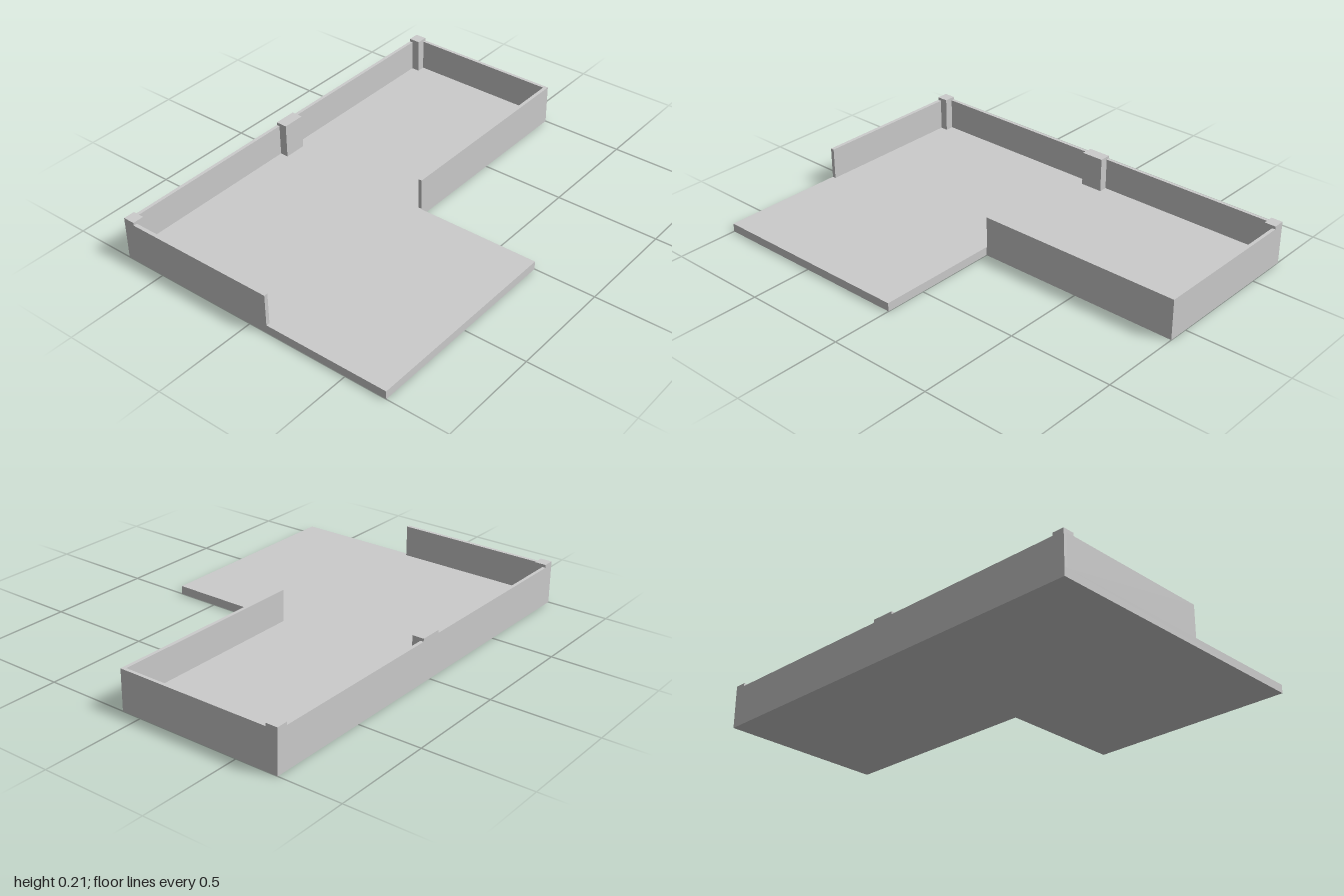
import * as THREE from 'three';

export function createModel() {
  const group = new THREE.Group();
  const material = new THREE.MeshStandardMaterial({ color: 0xcccccc, flatShading: true });
  const floorTop = 0.04, wallTop = 0.192, postTop = 0.206;

  // Box given by its extents
  function box(name, x0, x1, y0, y1, z0, z1) {
    const mesh = new THREE.Mesh(new THREE.BoxGeometry(x1 - x0, y1 - y0, z1 - z0), material);
    mesh.position.set((x0 + x1) / 2, (y0 + y1) / 2, (z0 + z1) / 2);
    mesh.name = name;
    group.add(mesh);
  }

  // L-shaped floor slab, drawn in plan and laid flat (shape y becomes -z)
  const plan = new THREE.Shape([
    [-0.703, -1], [0.703, -1], [0.703, 0], [0.097, 0], [0.097, 1], [-0.703, 1],
  ].map(([x, y]) => new THREE.Vector2(x, y)));
  const slab = new THREE.ExtrudeGeometry(plan, { depth: floorTop, bevelEnabled: false });
  slab.rotateX(-Math.PI / 2);
  const floor = new THREE.Mesh(slab, material);
  floor.name = 'floorSlab';
  group.add(floor);

  // Low parapet walls, leaving the wide terrace open
  box('rightWall', -0.703, -0.687, floorTop, wallTop, -1, 1);
  box('backWall', -0.687, 0.08, floorTop, wallTop, -1, -0.984);
  box('leftWall', 0.08, 0.097, floorTop, wallTop, -1, -0.003);
  box('frontWall', -0.687, 0.093, floorTop, wallTop, 0.982, 1);

  // Posts along the long wall
  for (const [name, z0, z1] of [
    ['backPost', -1, -0.945], ['middlePost', -0.055, 0.055], ['frontPost', 0.945, 1],
  ]) box(name, -0.703, -0.647, floorTop, postTop, z0, z1);

  return group;
}
